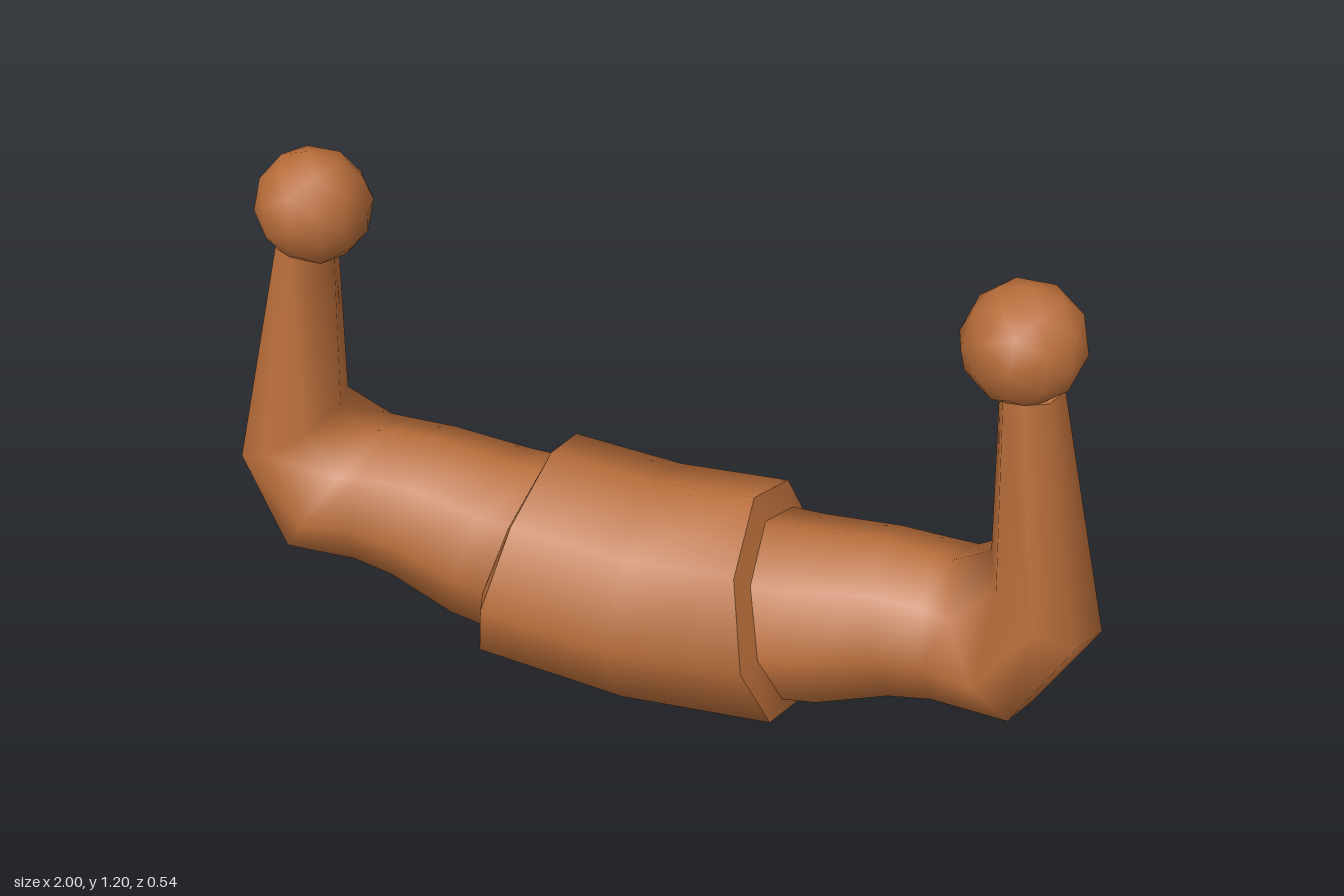
import * as THREE from 'three';

const SIDES = 8;

// Smooth octagonal skin through sections [topX, topY, bottomX, bottomY, halfDepth], running towards +x
function loft(sections) {
  const pos = [], index = [];
  sections.forEach(([tx, ty, bx, by, hz], i) => {
    for (let j = 0; j < SIDES; j++) {
      const a = (j / SIDES) * Math.PI * 2, c = Math.cos(a) / 2;
      pos.push((tx + bx) / 2 + (tx - bx) * c, (ty + by) / 2 + (ty - by) * c, Math.sin(a) * hz);
      if (i === 0) continue;
      const k = (j + 1) % SIDES, p = (i - 1) * SIDES, q = i * SIDES;
      index.push(p + j, p + k, q + j, p + k, q + k, q + j);
    }
  });
  const geo = new THREE.BufferGeometry();
  geo.setAttribute('position', new THREE.Float32BufferAttribute(pos, 3));
  geo.setIndex(index);
  geo.computeVertexNormals();
  return geo;
}

// Mirrored sections, reversed so that the skin still runs towards +x
const mirror = (sections) =>
  sections.map(([tx, ty, bx, by, hz]) => [-tx, ty, -bx, by, hz]).reverse();

export function createModel() {
  const group = new THREE.Group();
  const brown = new THREE.MeshStandardMaterial({ color: 0xb86d3a });
  brown.name = 'brown';
  const add = (name, geo) => {
    const mesh = new THREE.Mesh(geo, brown);
    mesh.name = name;
    group.add(mesh);
    return mesh;
  };

  // Thick middle sleeve with slanted ends
  const rim = [0.235, 0.565, 0.365, 0.035, 0.265];
  const armRoot = [0.262, 0.508, 0.378, 0.092, 0.21];
  add('sleeve', loft([...mirror([rim]), [0, 0.545, 0, 0.003, 0.27], rim]));

  // Bent arm: upper arm, elbow, tapering forearm
  const wrist = [0.73, 0.99, 0.86, 0.99, 0.08];
  const arm = [
    armRoot,
    [0.34, 0.512, 0.45, 0.102, 0.203],
    [0.52, 0.531, 0.6, 0.165, 0.183],
    [0.635, 0.525, 0.69, 0.188, 0.181],
    [0.67, 0.515, 0.88, 0.19, 0.195],
    [0.752, 0.565, 1.0, 0.42, 0.146],
    wrist,
  ];
  const wristCap = [wrist, [0.795, 0.99, 0.795, 0.99, 0]];

  for (const side of [1, -1]) {
    const label = side > 0 ? 'left' : 'right';
    const build = (sections) => loft(side > 0 ? sections : mirror(sections));
    add(label + 'SleeveRim', build([rim, armRoot]));
    add(label + 'Arm', build(arm));
    add(label + 'WristCap', build(wristCap));
    // Ball at the end of the forearm
    const ball = add(label + 'Ball', new THREE.IcosahedronGeometry(0.127, 1));
    ball.position.set(side * 0.768, 1.08, 0);
  }
  return group;
}
